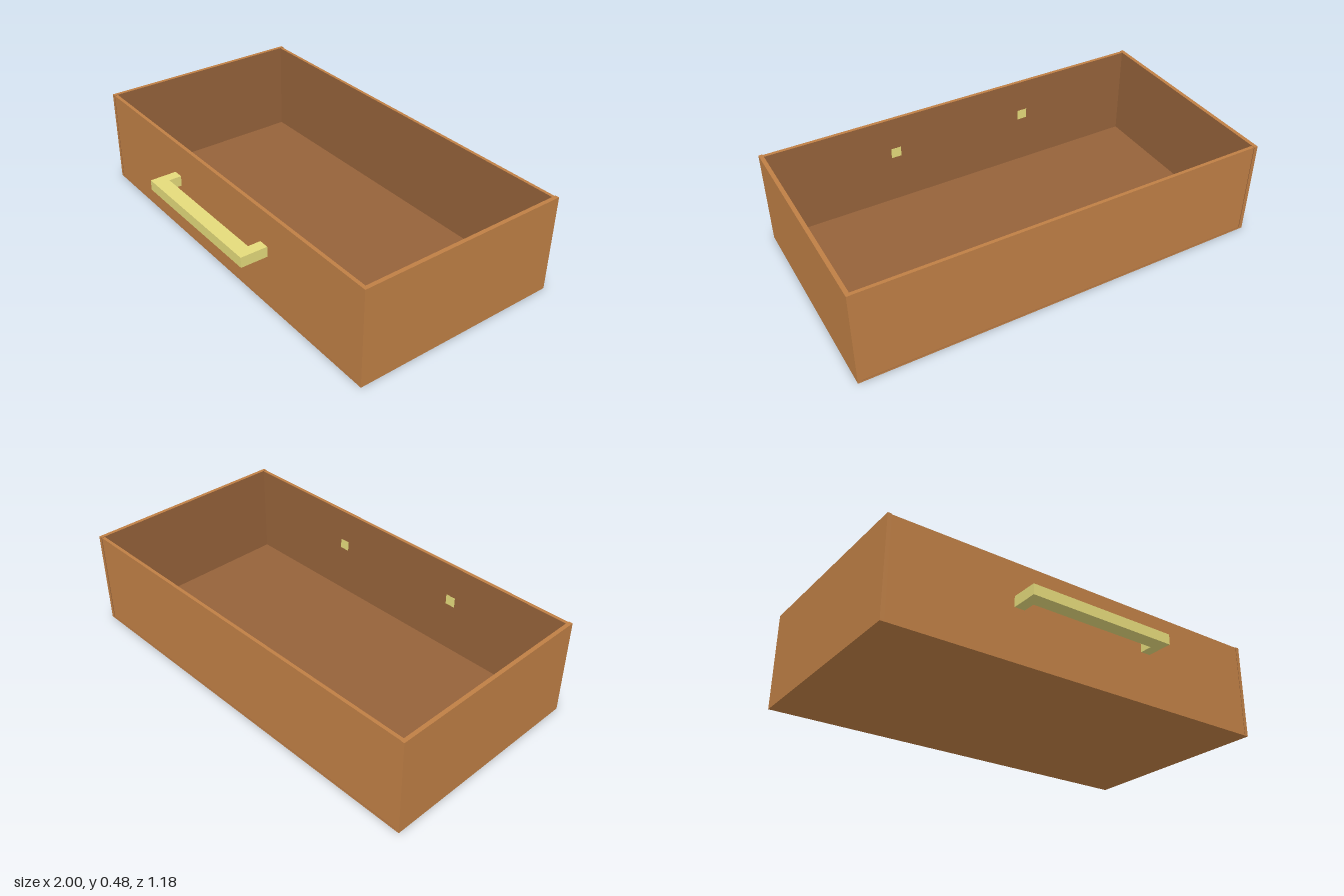
import * as THREE from 'three';

const material = (name, color) => {
  const m = new THREE.MeshStandardMaterial({ color });
  m.name = name;
  return m;
};

export function createModel() {
  const wood = material('wood', 0xbf7f45);
  const darkWood = material('dark wood lining', 0x95623a);
  const brass = material('pale brass', 0xe4da7b);

  const group = new THREE.Group();
  group.name = 'drawer';

  // Box given by its limits on each axis; faces run +x, -x, +y, -y, +z, -z
  const box = (name, [x0, x1], [y0, y1], [z0, z1], mat, parent = group) => {
    const mesh = new THREE.Mesh(new THREE.BoxGeometry(x1 - x0, y1 - y0, z1 - z0), mat);
    mesh.position.set((x0 + x1) / 2, (y0 + y1) / 2, (z0 + z1) / 2);
    mesh.name = name;
    parent.add(mesh);
  };
  // Wood all round, with one inner face in the darker lining colour
  const lined = face => [0, 1, 2, 3, 4, 5].map(i => (i === face ? darkWood : wood));

  const t = 0.019, top = 0.476, base = 0.008;
  const back = -0.59, front = 0.46;
  const inX = [-1 + t, 1 - t];

  // Bottom board, full-depth sides, and front and back set between them
  box('bottomBoard', [-1, 1], [0, base], [back, front], lined(2));
  box('leftPanel', [1 - t, 1], [base, top], [back, front], lined(1));
  box('rightPanel', [-1, -1 + t], [base, top], [back, front], lined(0));
  box('frontPanel', inX, [base, top - 0.002], [front - t, front - 0.002], lined(5));
  box('backPanel', inX, [base, top - 0.002], [back + 0.003, back + t], lined(4));

  // Pull handle, its two arms passing through the front panel
  const handle = new THREE.Group();
  handle.name = 'handle';
  group.add(handle);
  const hy = [0.257, 0.308];
  box('handleBar', [-0.39, 0.372], hy, [0.52, 0.59], brass, handle);
  for (const [name, x] of [['rightArm', -0.39], ['leftArm', 0.321]]) {
    box(name, [x, x + 0.051], hy, [front - t - 0.001, 0.52], brass, handle);
  }

  return group;
}
